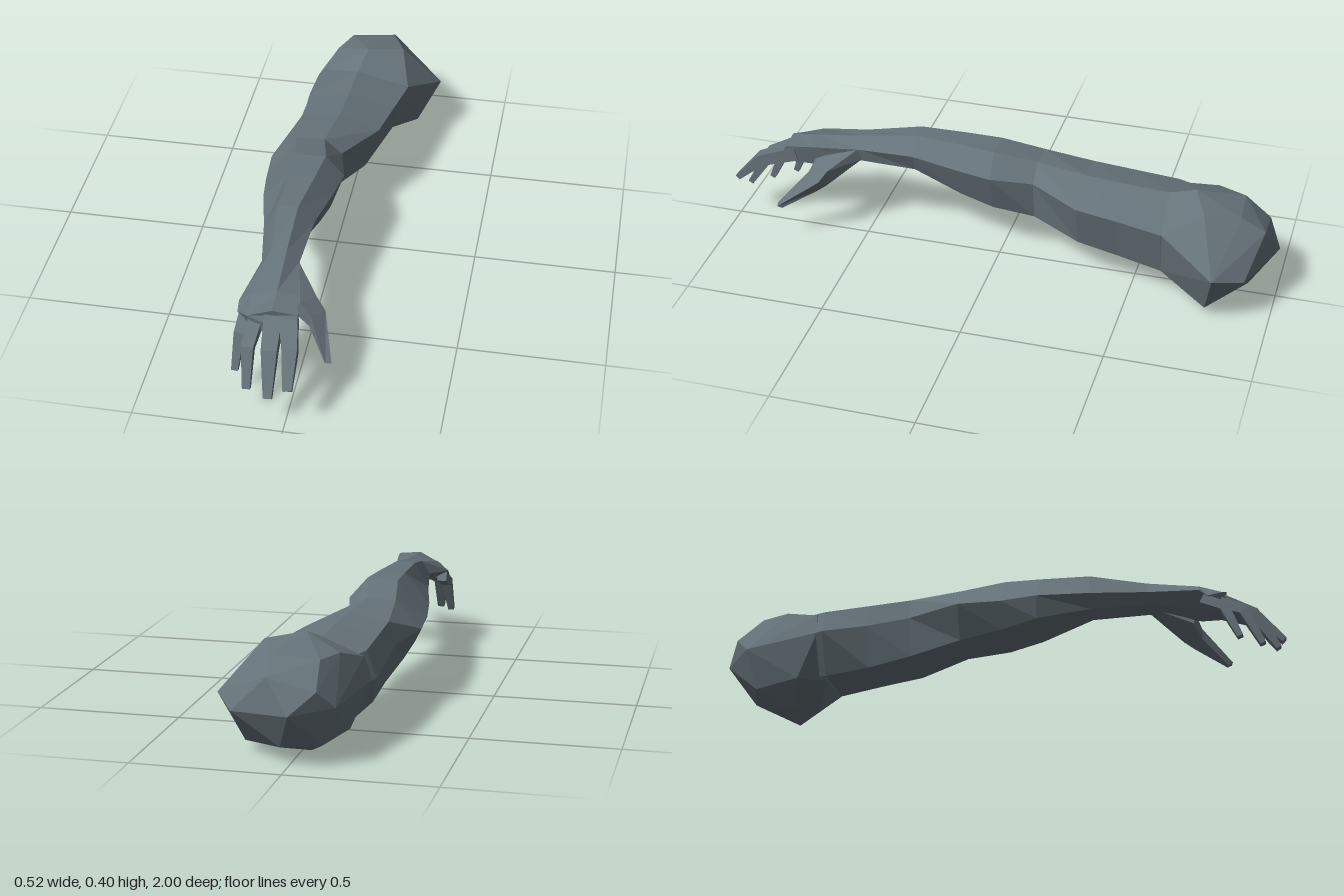
import * as THREE from 'three';
import { ConvexGeometry } from 'three/addons/geometries/ConvexGeometry.js';

// Closed loft through rings of [x, y, z]; rings run clockwise seen from the end
function loft(rings) {
  const n = rings[0].length, last = (rings.length - 1) * n, idx = [];
  for (let i = 0; i < rings.length - 1; i++) {
    for (let j = 0; j < n; j++) {
      const k = (j + 1) % n;
      const a = i * n + j, b = i * n + k, c = a + n, d = b + n;
      idx.push(a, c, b, b, c, d);
    }
  }
  for (let j = 1; j < n - 1; j++) {
    idx.push(0, j, j + 1, last, last + j + 1, last + j);
  }
  const g = new THREE.BufferGeometry();
  g.setAttribute('position', new THREE.Float32BufferAttribute(rings.flat(2), 3));
  g.setIndex(idx);
  const flat = g.toNonIndexed();
  flat.computeVertexNormals();
  return flat;
}

// Four-sided finger along joints [x, y, z, halfWidth, halfDepth]
function finger(joints) {
  const pts = joints.map(p => new THREE.Vector3(p[0], p[1], p[2]));
  return loft(joints.map(([, , , w, d], i) => {
    const dir = pts[Math.min(i + 1, pts.length - 1)].clone().sub(pts[Math.max(i - 1, 0)]).normalize();
    const u = new THREE.Vector3(1, 0, 0).addScaledVector(dir, -dir.x).normalize();
    const v = dir.clone().cross(u);
    return [[-1, 1], [1, 1], [1, -1], [-1, -1]].map(([a, b]) =>
      pts[i].clone().addScaledVector(u, a * w).addScaledVector(v, b * d).toArray());
  }));
}

export function createModel() {
  const group = new THREE.Group();
  const skin = new THREE.MeshStandardMaterial({ color: 0x66737a });
  skin.name = 'skin';
  skin.flatShading = true;
  const add = (name, geometry) => {
    const mesh = new THREE.Mesh(geometry, skin);
    mesh.name = name;
    group.add(mesh);
  };

  // Sections: z, then top-left, top-right, right, bottom-right, bottom-left, left
  const sections = [
    [-0.78, -0.12, 0.31, 0.0, 0.33, 0.14, 0.27, 0.1, 0.12, -0.09, 0.1, -0.15, 0.21],
    [-0.61, -0.18, 0.31, -0.03, 0.345, 0.16, 0.29, 0.11, 0.11, -0.14, 0.08, -0.215, 0.22],
    [-0.45, -0.183, 0.32, -0.035, 0.35, 0.13, 0.298, 0.08, 0.125, -0.165, 0.09, -0.21, 0.23],
    [-0.3, -0.185, 0.33, -0.045, 0.355, 0.1, 0.3, 0.05, 0.135, -0.175, 0.118, -0.207, 0.25],
    [-0.12, -0.17, 0.36, -0.068, 0.365, -0.005, 0.31, -0.03, 0.16, -0.2, 0.155, -0.262, 0.265],
    [0.03, -0.145, 0.396, -0.035, 0.4, 0.03, 0.325, -0.02, 0.18, -0.21, 0.18, -0.252, 0.27],
    [0.15, -0.145, 0.397, -0.05, 0.4, 0.012, 0.33, -0.035, 0.205, -0.215, 0.212, -0.235, 0.29],
    [0.33, -0.145, 0.395, -0.075, 0.397, -0.02, 0.34, -0.05, 0.27, -0.15, 0.265, -0.195, 0.305],
    [0.53, -0.13, 0.358, -0.075, 0.364, -0.03, 0.33, -0.04, 0.28, -0.12, 0.28, -0.16, 0.31],
    [0.71, -0.155, 0.32, -0.07, 0.343, 0.0, 0.33, -0.01, 0.255, -0.13, 0.245, -0.198, 0.285],
  ];
  const rings = sections.map(([z, ...p]) =>
    Array.from({ length: 6 }, (_, i) => [p[2 * i], p[2 * i + 1], z]));
  // Slanted row of knuckles
  const knuckles = [[-0.155, 0.292, 0.79], [-0.07, 0.333, 0.8], [0.012, 0.325, 0.8],
    [0.01, 0.265, 0.83], [-0.13, 0.235, 0.79], [-0.198, 0.262, 0.74]];
  add('upperArm', loft(rings.slice(0, 5)));
  add('forearm', loft(rings.slice(4, 9)));
  add('palm', loft([...rings.slice(8), knuckles]));

  // Faceted shoulder ball, tapering into the upper arm
  const ball = [
    [-0.02, 0.19, -1], [0.06, 0.3, -0.955], [-0.1, 0.26, -0.95], [-0.15, 0.2, -0.9],
    [0.19, 0.17, -0.91], [0.262, 0.2, -0.81], [-0.005, 0.388, -0.7], [0.12, 0.37, -0.75],
    [-0.09, 0.34, -0.86], [0.07, 0.35, -0.87], [-0.165, 0.23, -0.76], [-0.13, 0.34, -0.76],
    [-0.15, 0.075, -0.71], [-0.03, 0.003, -0.74], [0.18, 0.035, -0.78], [0.03, 0.06, -0.905],
    [-0.1, 0.065, -0.87], [0.16, 0.29, -0.615], [-0.03, 0.345, -0.6], [-0.18, 0.3, -0.64],
    [-0.205, 0.22, -0.63], [-0.12, 0.07, -0.61], [0.01, 0.02, -0.66], [0.11, 0.11, -0.61],
  ];
  add('shoulder', new ConvexGeometry(ball.map(p => new THREE.Vector3(...p))));

  // Curled fingers, rooted inside the knuckles
  add('indexFinger', finger([[-0.022, 0.294, 0.77, 0.032, 0.026], [0.008, 0.257, 0.9, 0.025, 0.021], [0.016, 0.171, 0.99, 0.015, 0.01]]));
  add('middleFinger', finger([[-0.068, 0.29, 0.775, 0.03, 0.027], [-0.06, 0.24, 0.89, 0.026, 0.021], [-0.053, 0.112, 0.97, 0.014, 0.01]]));
  add('ringFinger', finger([[-0.128, 0.264, 0.76, 0.024, 0.022], [-0.138, 0.22, 0.86, 0.02, 0.019], [-0.134, 0.095, 0.917, 0.013, 0.01]]));
  add('littleFinger', finger([[-0.172, 0.258, 0.72, 0.018, 0.018], [-0.178, 0.22, 0.795, 0.018, 0.018], [-0.188, 0.102, 0.843, 0.011, 0.01]]));

  // Spread thumb with a broad root running into the palm
  add('thumb', loft([
    [[-0.07, 0.335, 0.54], [-0.03, 0.33, 0.54], [-0.035, 0.285, 0.53], [-0.08, 0.285, 0.54]],
    [[0.0, 0.285, 0.69], [0.045, 0.268, 0.63], [0.035, 0.2, 0.64], [-0.03, 0.24, 0.68]],
    [[0.038, 0.25, 0.705], [0.078, 0.235, 0.655], [0.055, 0.18, 0.675], [0.032, 0.205, 0.705]],
    [[0.105, 0.142, 0.805], [0.124, 0.138, 0.8], [0.115, 0.128, 0.785], [0.1, 0.128, 0.79]],
  ]));
  return group;
}
